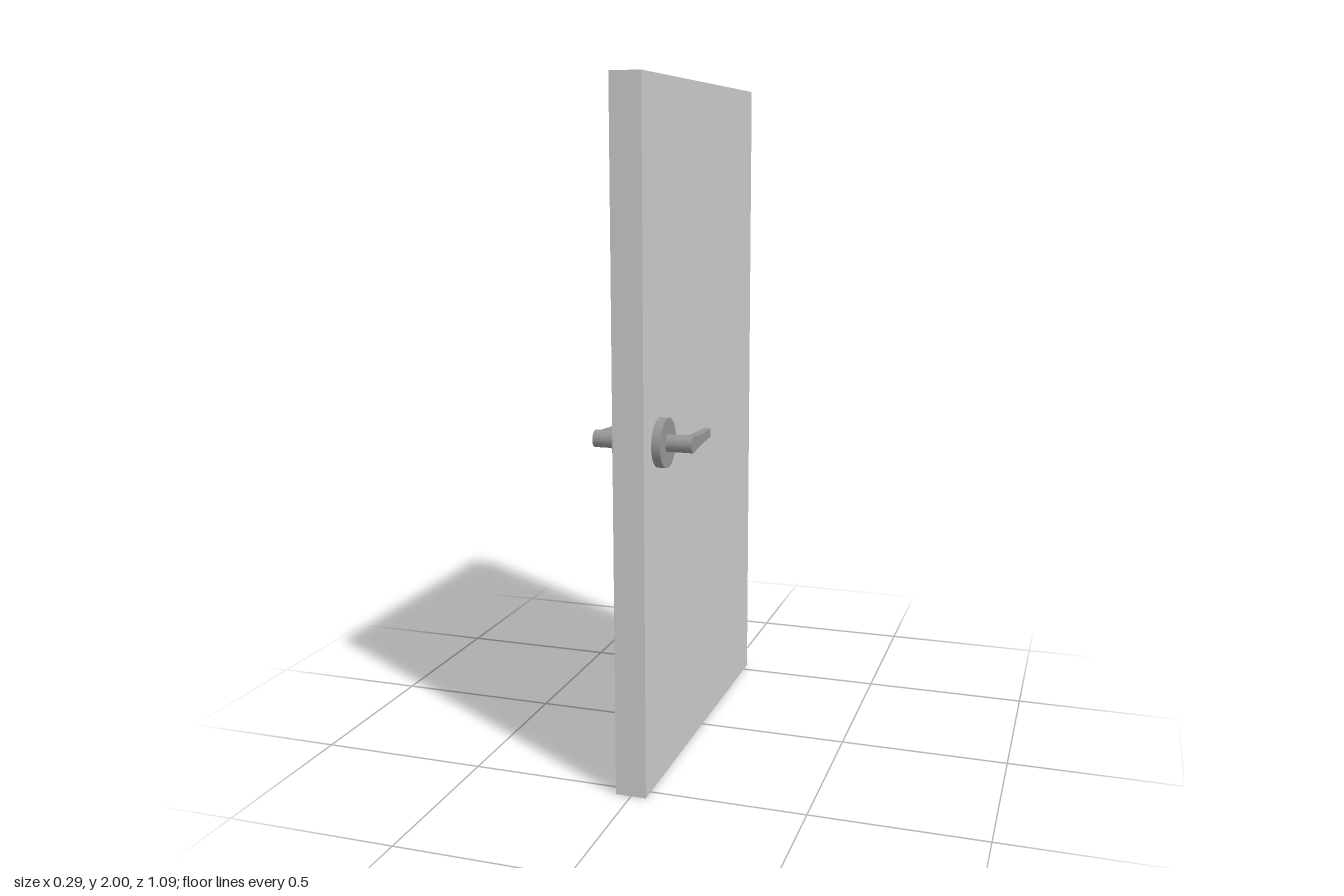
import * as THREE from 'three';

const HANDLE_Y = 1.002;
const HANDLE_Z = 0.412;

// Lever: a bar along z that thins out from its root to its tip
function leverGeometry() {
  // z, half width in x, half height in y
  const sections = [
    [0.236, 0.010, 0.0125],
    [0.31, 0.0130, 0.0135],
    [0.36, 0.0145, 0.0165],
    [0.405, 0.0155, 0.022],
  ];
  const n = sections.length - 1;
  const geo = new THREE.BoxGeometry(2, 2, n, 1, 1, n);
  const pos = geo.attributes.position;
  for (let i = 0; i < pos.count; i++) {
    const [z, hx, hy] = sections[Math.round(pos.getZ(i) + n / 2)];
    pos.setXYZ(i, pos.getX(i) * hx, pos.getY(i) * hy, z - HANDLE_Z);
  }
  geo.computeVertexNormals();
  return geo;
}

// Cylinder lying along x
function disc(radius, length) {
  return new THREE.CylinderGeometry(radius, radius, length, 40).rotateZ(Math.PI / 2);
}

export function createModel() {
  const model = new THREE.Group();
  model.name = 'door';
  const panelMaterial = new THREE.MeshStandardMaterial({ color: 0xcccccc });
  const handleMaterial = new THREE.MeshStandardMaterial({ color: 0x969696 });

  const add = (parent, name, geometry, material, x = 0, y = 0, z = 0) => {
    const mesh = new THREE.Mesh(geometry, material);
    mesh.name = name;
    mesh.position.set(x, y, z);
    parent.add(mesh);
  };

  // Door leaf
  add(model, 'doorPanel', new THREE.BoxGeometry(0.09, 2, 1.086), panelMaterial, 0, 1, 0);

  // A handle on each face: rosette, stem and lever
  for (const side of [-1, 1]) {
    const handle = new THREE.Group();
    handle.name = side > 0 ? 'leftHandle' : 'rightHandle';
    handle.position.set(0, HANDLE_Y, HANDLE_Z);
    add(handle, 'rosette', disc(0.0705, 0.03), handleMaterial, side * 0.0555);
    add(handle, 'stem', disc(0.0245, 0.08), handleMaterial, side * 0.106);
    add(handle, 'lever', leverGeometry(), handleMaterial, side * 0.1302);
    model.add(handle);
  }
  return model;
}
